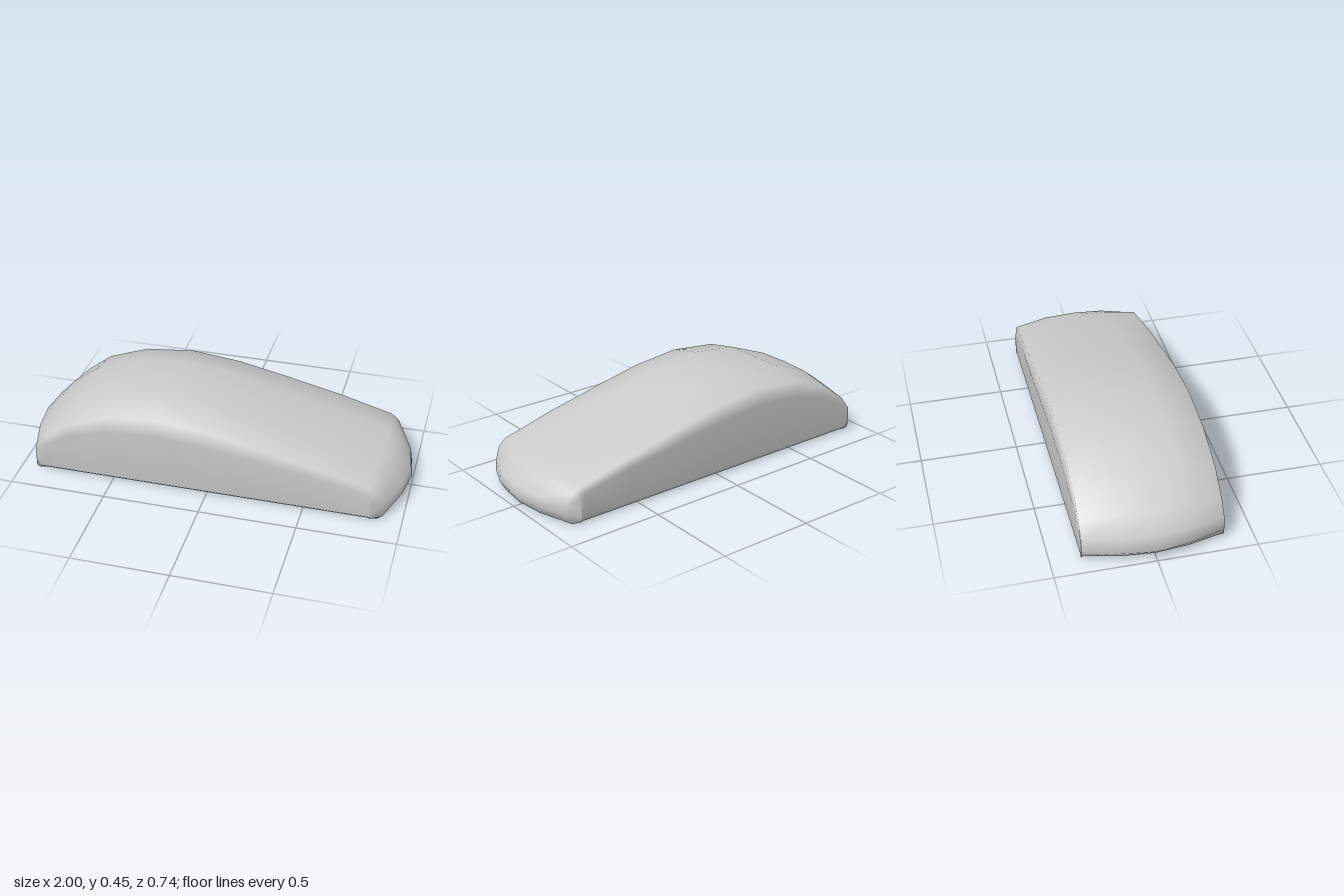
import * as THREE from 'three';

// Centre-line profile, over the top from the rear lip to the nose lip:
// [x, height, how far the corners are pulled in along x]
const STATIONS = [
  [-0.93, 0, 0.06], [-0.96, 0.015, 0.06], [-1, 0.06, 0.085], [-0.98, 0.14, 0.065],
  [-0.9, 0.22, 0.04], [-0.75, 0.33, 0.015], [-0.52, 0.42, 0], [-0.26, 0.452, 0],
  [0, 0.422, 0], [0.25, 0.365, 0], [0.55, 0.29, 0], [0.85, 0.21, -0.03],
  [0.92, 0.18, -0.08], [0.99, 0.11, -0.15], [1, 0.06, -0.16], [0.97, 0.015, -0.13],
  [0.93, 0, -0.1],
];
const REAR_BOW = [0, 0.27, 1, 1, 1, 1];
const NOSE_BOW = [0, 0.16, 0.55, 1, 1, 1];
const HALF = 5; // columns from the centre line to the bottom rim

// One point of the shell: k counts outward from the centre line to the rim
function shellPoint([cx, top, bow], k, side) {
  const bulge = 0.018 * Math.max(0, 1 - ((cx + 0.15) / 0.75) ** 2);
  const nose = Math.max(0, -bow);
  const widths = [0, 0.165, 0.35 - 0.25 * nose, 0.352 + bulge, 0.35, 0.33];
  const heights = [top, top * 0.993, top * 0.9, top * 0.72, Math.min(0.02, top * 0.5), 0];
  let x = cx + bow * (bow > 0 ? REAR_BOW : NOSE_BOW)[k];
  if (k === HALF) x = THREE.MathUtils.clamp(x, -0.87, 0.83);
  const z = top === 0 ? Math.min(widths[k], 0.33) : widths[k];
  return new THREE.Vector3(x, heights[k], z * side);
}

function buildShell() {
  const points = [], index = [], cols = HALF * 2 + 1;
  STATIONS.forEach((s, i) => {
    for (let j = 0; j < cols; j++) {
      points.push(shellPoint(s, Math.abs(HALF - j), j <= HALF ? 1 : -1));
      if (i && j) {
        const d = i * cols + j, c = d - 1, b = d - cols, a = b - 1;
        index.push(a, c, b, c, d, b);
      }
    }
  });
  const geometry = new THREE.BufferGeometry().setFromPoints(points);
  geometry.setIndex(index);
  geometry.computeVertexNormals();
  return geometry;
}

// Flat floor bounded by the two end lips
function buildUnderside() {
  const outline = [];
  const rear = STATIONS[0], nose = STATIONS[STATIONS.length - 1];
  for (let k = -3; k <= 3; k++) {
    const p = shellPoint(nose, Math.abs(k), Math.sign(k) || 1);
    outline.push(new THREE.Vector2(p.x, p.z));
  }
  for (let k = 3; k >= -3; k--) {
    const p = shellPoint(rear, Math.abs(k), Math.sign(k) || 1);
    outline.push(new THREE.Vector2(p.x, p.z));
  }
  return new THREE.ShapeGeometry(new THREE.Shape(outline)).rotateX(Math.PI / 2);
}

export function createModel() {
  const model = new THREE.Group();
  model.name = 'computerMouse';
  const material = new THREE.MeshStandardMaterial({ color: 0xcccccc, side: THREE.DoubleSide });
  const add = (name, geometry) => {
    const mesh = new THREE.Mesh(geometry, material);
    mesh.name = name;
    model.add(mesh);
  };
  add('shell', buildShell());
  add('underside', buildUnderside());
  return model;
}
